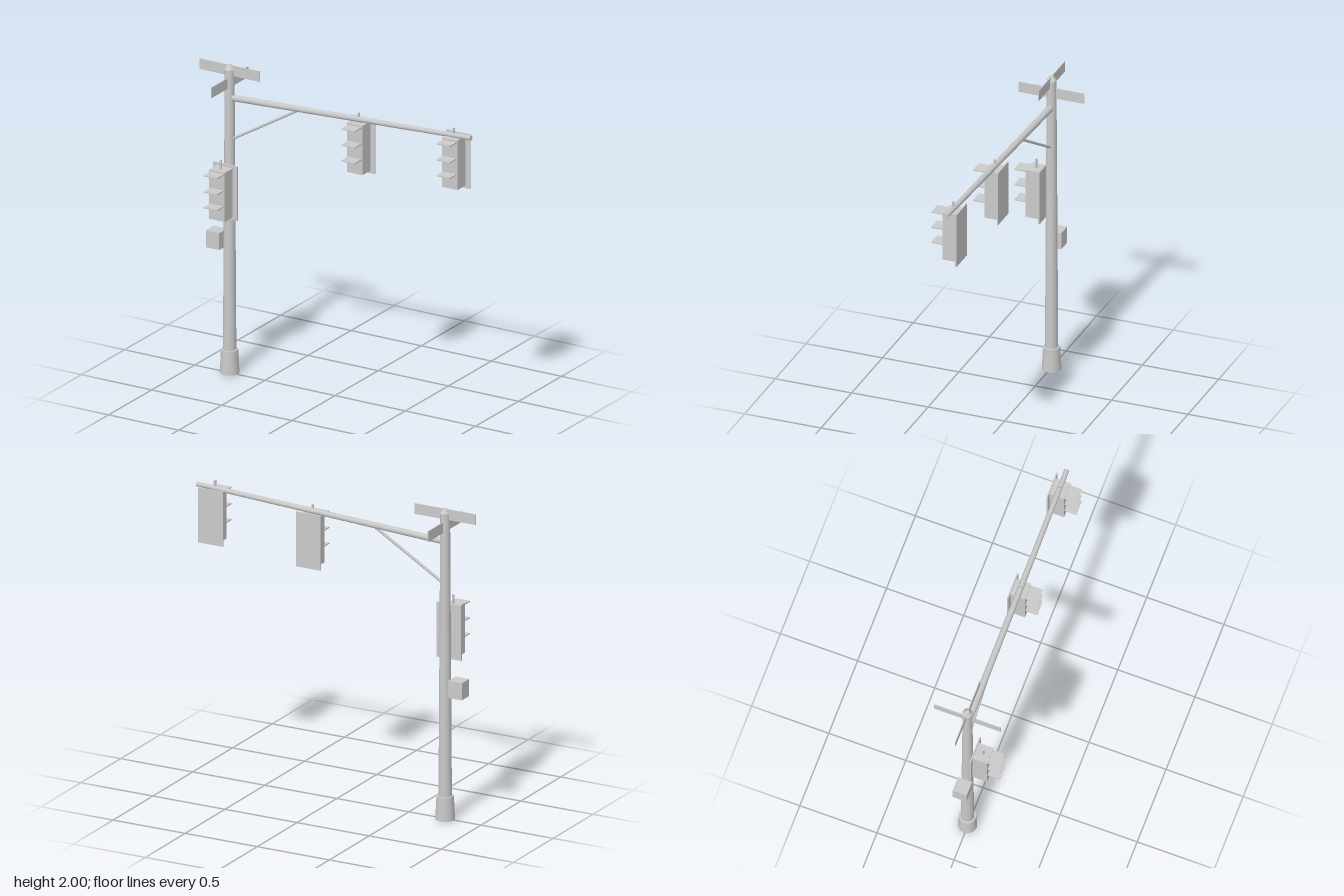
import * as THREE from 'three';

const metal = new THREE.MeshStandardMaterial({ color: 0xcacaca, side: THREE.DoubleSide });
metal.name = 'light grey metal';

const PX = -0.754, PZ = -0.005; // pole axis

function add(parent, name, geometry, x = 0, y = 0, z = 0) {
  const mesh = new THREE.Mesh(geometry, metal);
  mesh.name = name;
  mesh.position.set(x, y, z);
  parent.add(mesh);
  return mesh;
}

const box = (w, h, d) => new THREE.BoxGeometry(w, h, d);

// Removes one face group, leaving the shell open there
function without(geometry, group) {
  const { start, count } = geometry.groups[group];
  geometry.setIndex([...geometry.index.array].filter((_, i) => i < start || i >= start + count));
  geometry.clearGroups();
  return geometry;
}

const bottomlessBox = (w, h, d) => without(box(w, h, d), 3);

// Tapered tube between two points
function rod(parent, name, a, b, ra, rb, sides) {
  const dir = b.clone().sub(a);
  const mesh = add(parent, name, new THREE.CylinderGeometry(rb, ra, dir.length(), sides));
  mesh.position.copy(a).addScaledVector(dir, 0.5);
  mesh.quaternion.setFromUnitVectors(new THREE.Vector3(0, 1, 0), dir.normalize());
}

// Signal head; origin at the bottom centre of the housing
function signalHead(parent, name, x, y, z) {
  const head = new THREE.Group();
  head.name = name;
  head.position.set(x, y, z);
  parent.add(head);
  add(head, 'housing', bottomlessBox(0.11, 0.32, 0.094), 0, 0.16, 0);
  add(head, 'backplate', box(0.171, 0.353, 0.009), 0, 0.159, -0.0515);
  for (const vy of [0.098, 0.2, 0.305]) {
    add(head, 'visor', box(0.095, 0.007, 0.077), 0, vy, 0.0855);
  }
  add(head, 'hanger', new THREE.CylinderGeometry(0.008, 0.008, 0.075, 8), 0, 0.342, 0);
}

export function createModel() {
  const model = new THREE.Group();
  model.name = 'trafficSignalPole';
  const at = (x, y) => new THREE.Vector3(x, y, PZ);

  // Pole
  add(model, 'base', without(new THREE.CylinderGeometry(0.053, 0.06, 0.153, 12), 2), PX, 0.0765, PZ);
  rod(model, 'pole', at(PX, 0.14), at(PX, 1.97), 0.041, 0.03, 12);
  add(model, 'cap', new THREE.CylinderGeometry(0.011, 0.033, 0.03, 8), PX, 1.985, PZ);

  // Arm and its brace
  rod(model, 'mastArm', at(PX, 1.786), at(0.966, 1.863), 0.022, 0.016, 8);
  rod(model, 'brace', at(-0.735, 1.52), at(-0.272, 1.795), 0.009, 0.009, 6);

  // Signal heads on the pole and along the arm
  signalHead(model, 'poleSignal', PX, 1.034, 0.096);
  signalHead(model, 'middleSignal', 0.166, 1.489, PZ + 0.001);
  signalHead(model, 'endSignal', 0.843, 1.527, PZ + 0.001);

  // Control box and crossed street signs
  add(model, 'controlBox', bottomlessBox(0.094, 0.11, 0.092), -0.847, 0.855, PZ + 0.001);
  add(model, 'upperSign', box(0.426, 0.068, 0.005), PX, 1.963, PZ);
  add(model, 'lowerSign', box(0.005, 0.068, 0.43), PX, 1.884, PZ);

  return model;
}
